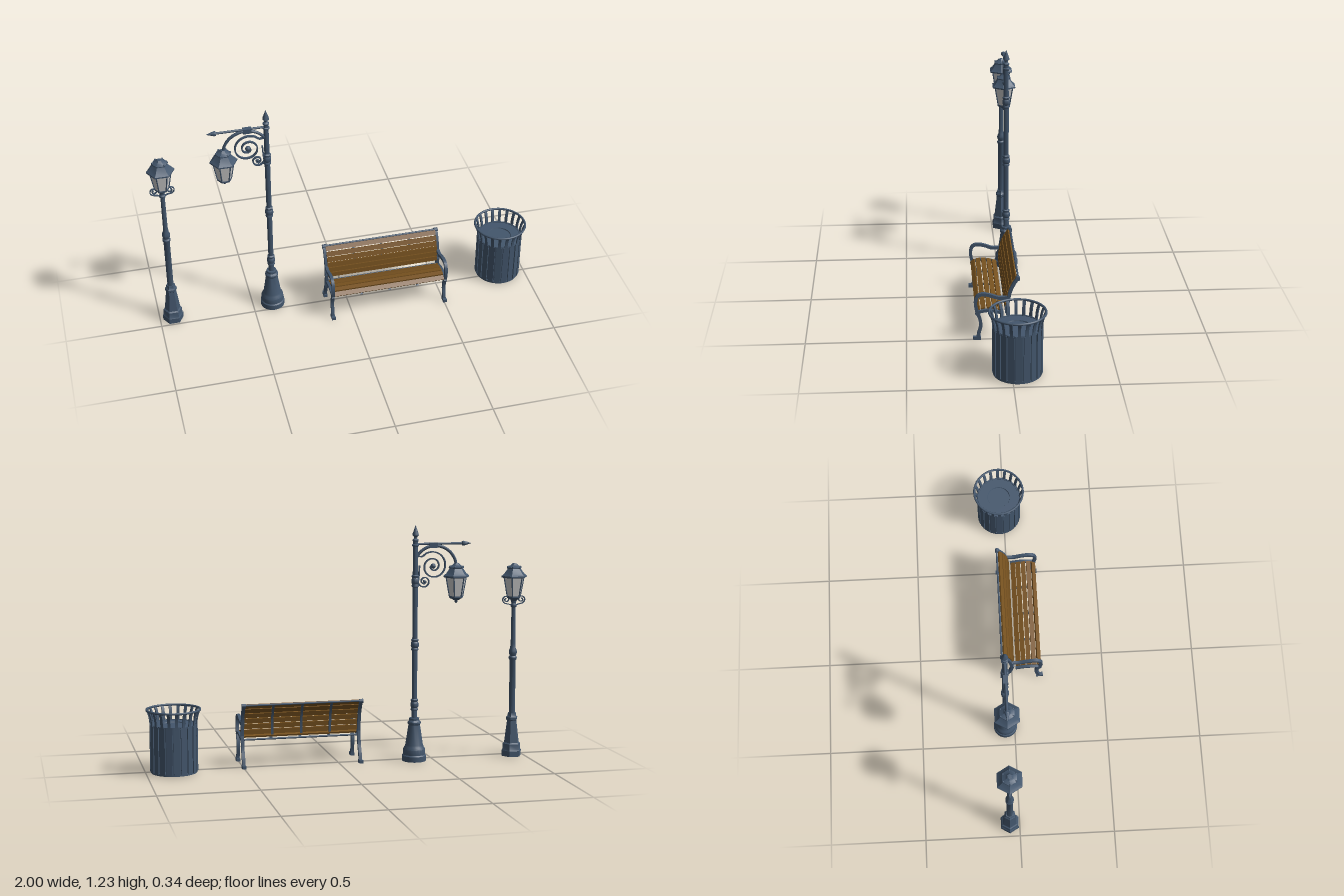
import * as THREE from 'three';
import { toCreasedNormals } from 'three/addons/utils/BufferGeometryUtils.js';

const METAL = new THREE.MeshStandardMaterial({ color: 0x43566c });
const METAL_TWO = new THREE.MeshStandardMaterial({ color: 0x43566c, side: THREE.DoubleSide });
const WOOD = new THREE.MeshStandardMaterial({ color: 0x76511f });
const GLASS = new THREE.MeshStandardMaterial({ color: 0xcccccc });
const v2 = ([x, y]) => new THREE.Vector2(x, y);

function add(parent, name, geometry, material = METAL, x = 0, y = 0, z = 0) {
  const mesh = new THREE.Mesh(geometry, material);
  mesh.name = name;
  mesh.position.set(x, y, z);
  parent.add(mesh);
  return mesh;
}

function group(parent, name, x = 0, y = 0, z = 0) {
  const g = new THREE.Group();
  g.name = name;
  g.position.set(x, y, z);
  parent.add(g);
  return g;
}

// Turned solid from [radius, height] pairs; six sides have corners on the x axis
function turned(profile, sides = 24) {
  const g = new THREE.LatheGeometry(profile.map(v2), sides, sides === 6 ? Math.PI / 6 : 0);
  return toCreasedNormals(g, 0.6);
}

// Flat bar of constant thickness following a curve in the xy plane
function bar(points, thick, depth, steps = 32) {
  const curve = new THREE.SplineCurve(points.map(v2));
  const left = [], right = [];
  for (let i = 0; i <= steps; i++) {
    const p = curve.getPoint(i / steps), t = curve.getTangent(i / steps);
    const n = new THREE.Vector2(-t.y, t.x).multiplyScalar(thick / 2);
    left.push(p.clone().add(n));
    right.unshift(p.clone().sub(n));
  }
  const g = new THREE.ExtrudeGeometry(new THREE.Shape([...left, ...right]), { depth, bevelEnabled: false });
  g.translate(0, 0, -depth / 2);
  return toCreasedNormals(g, 0.6);
}

// Points of a spiral winding inward from angle a0
function spiral(cx, cy, r0, r1, a0, turns, n = 24) {
  return Array.from({ length: n + 1 }, (_, i) => {
    const t = i / n, r = r0 + (r1 - r0) * t, a = a0 + turns * Math.PI * 2 * t;
    return [cx + r * Math.cos(a), cy + r * Math.sin(a)];
  });
}

function rod(parent, name, a, b, radius, sides = 8) {
  const p = new THREE.Vector3(...a), q = new THREE.Vector3(...b);
  const m = add(parent, name, new THREE.CylinderGeometry(radius, radius, p.distanceTo(q), sides));
  m.position.copy(p).add(q).multiplyScalar(0.5);
  m.quaternion.setFromUnitVectors(new THREE.Vector3(0, 1, 0), q.sub(p).normalize());
}

// Six-sided lantern; y = 0 is the bottom of the glass
function lantern(parent, x, y, hanging) {
  const g = group(parent, 'lantern', x, y, 0);
  add(g, 'lanternGlass', turned([[0, 0], [0.034, 0], [0.054, 0.108], [0, 0.108]], 6), GLASS);
  for (let i = 0; i < 6; i++) {
    const a = i * Math.PI / 3, c = Math.cos(a), s = Math.sin(a);
    rod(g, 'lanternFrameBar', [0.035 * c, 0, 0.035 * s], [0.055 * c, 0.108, 0.055 * s], 0.0035, 6);
  }
  add(g, 'lanternBottomRim', turned([[0, -0.008], [0.03, -0.008], [0.038, -0.003], [0.038, 0.005], [0, 0.005]], 6));
  add(g, 'lanternRoof', turned([[0, 0.1], [0.056, 0.1], [0.07, 0.104], [0.07, 0.111], [0.055, 0.122],
    [0.036, 0.148], [0.041, 0.15], [0.041, 0.155], [0.022, 0.165], [0.012, 0.175], [0, 0.176]], 6));
  for (let i = 0; i < 6; i++) {
    const a = i * Math.PI / 3;
    add(g, 'roofBead', new THREE.SphereGeometry(0.005, 8, 6), METAL, 0.036 * Math.cos(a), 0.157, 0.036 * Math.sin(a));
  }
  if (hanging) add(g, 'lanternPendant', turned([[0, -0.034], [0.007, -0.026], [0.009, -0.018], [0.018, -0.014], [0.028, -0.006], [0, -0.006]], 12));
}

// Short lamp post on a six-sided base
function shortLamp(root) {
  const g = group(root, 'shortLamp', -0.93, 0, -0.053);
  add(g, 'lampBase', turned([[0, 0], [0.054, 0], [0.054, 0.03], [0.05, 0.035], [0.048, 0.066], [0.041, 0.072],
    [0.026, 0.19], [0.031, 0.195], [0.031, 0.208], [0.024, 0.215], [0.022, 0.23], [0, 0.23]], 6));
  add(g, 'lampPost', turned([[0.016, 0.22], [0.016, 0.51], [0.021, 0.52], [0.021, 0.528], [0.016, 0.535],
    [0.021, 0.55], [0.021, 0.56], [0.015, 0.575], [0.012, 0.6], [0.011, 0.79], [0.016, 0.795], [0.016, 0.805],
    [0.012, 0.81], [0.014, 0.825], [0.03, 0.842], [0, 0.842]], 16));
  for (const s of [1, -1]) {
    const pts = [[0.01, 0.8], [0.024, 0.806], ...spiral(0.041, 0.832, 0.022, 0.005, -Math.PI / 2, 1.5)];
    const geo = bar(pts.map(([x, y]) => [x * s, y]), 0.005, 0.008, 60);
    add(g, 'postScroll', geo, METAL_TWO);
  }
  lantern(g, 0, 0.845, false);
}

// Tall post with a scrolled arm and a hanging lantern
function tallLamp(root) {
  const g = group(root, 'tallLamp', -0.395, 0, -0.05);
  add(g, 'lampBase', turned([[0, 0], [0.063, 0], [0.063, 0.028], [0.058, 0.034], [0.058, 0.062], [0.05, 0.075],
    [0.046, 0.085], [0.03, 0.19], [0.034, 0.195], [0.034, 0.205], [0.026, 0.214], [0.026, 0.226], [0, 0.23]]));
  const post = [[0.016, 0.22]];
  for (const [y, r] of [[0.295, 0.021], [0.61, 0.021], [0.94, 0.02]])
    post.push([0.014, y - 0.032], [0.019, y - 0.028], [0.019, y - 0.022], [0.016, y - 0.016], [r, y - 0.008],
      [r, y + 0.008], [0.016, y + 0.016], [0.019, y + 0.022], [0.019, y + 0.027], [0.0135, y + 0.032]);
  post.push([0.0125, 1.115], [0.017, 1.12], [0.017, 1.127], [0.013, 1.13], [0.013, 1.143], [0.016, 1.147],
    [0.016, 1.153], [0.008, 1.16], [0.009, 1.168], [0.017, 1.175], [0.015, 1.185], [0, 1.228]);
  add(g, 'lampPost', turned(post, 16));

  // Arrow rail
  rod(g, 'arrowRail', [0, 1.13, 0], [-0.265, 1.13, 0], 0.006);
  const tip = add(g, 'arrowTip', turned([[0, -0.012], [0.011, -0.008], [0.013, 0], [0, 0.042]], 12), METAL, -0.258, 1.13, 0);
  tip.rotation.z = Math.PI / 2;

  // Arch, its collar, and the scrolls beneath
  const arch = Array.from({ length: 9 }, (_, i) => {
    const a = Math.PI * (1 - i / 8 * 0.84);
    return new THREE.Vector3(-0.105 + 0.115 * Math.cos(a), 1.005 + 0.115 * Math.sin(a), 0);
  });
  add(g, 'lampArch', new THREE.TubeGeometry(new THREE.CatmullRomCurve3(arch), 32, 0.008, 8));
  add(g, 'archCollar', new THREE.BoxGeometry(0.042, 0.026, 0.024), METAL, -0.095, 1.123, 0);
  add(g, 'largeScroll', bar([[-0.012, 1.07], ...spiral(-0.095, 1.015, 0.078, 0.012, 0.7, 1.9, 32)], 0.007, 0.012, 110), METAL_TWO);
  add(g, 'smallScroll', bar([[-0.022, 1.02], ...spiral(-0.048, 0.937, 0.034, 0.007, 0.5, -1.6)], 0.006, 0.012, 70), METAL_TWO);
  add(g, 'scrollBead', new THREE.SphereGeometry(0.014, 12, 8), METAL, -0.095, 1.015, 0);
  add(g, 'scrollBead', new THREE.SphereGeometry(0.008, 10, 8), METAL, -0.048, 0.937, 0);
  lantern(g, -0.22, 0.853, true);
}

// Slatted bench; profiles are [z, y] pairs extruded along x
function bench(root) {
  const g = group(root, 'bench', 0.197, 0, 0);
  const back = [[0.008, 0.165], [0.004, 0.21], [-0.006, 0.26], [-0.026, 0.305], [-0.046, 0.332]];
  const seat = [[0.155, 0.145], [0.14, 0.159], [0.1, 0.167], [0.06, 0.162], [0.02, 0.15]];
  const behind = back.map(([z, y]) => [z - 0.009, y - 0.002]);
  const under = seat.map(([z, y]) => [z, y - 0.009]);
  const side = (name, pts, thick, depth, x) =>
    add(g, name, bar(pts, thick, depth).rotateY(-Math.PI / 2), METAL, x, 0, 0);

  for (const s of [1, -1]) {
    const x = s * 0.306;
    side('frontLegAndArm', [[0.144, 0], [0.142, 0.03], [0.131, 0.075], [0.136, 0.115], [0.15, 0.155], [0.157, 0.2],
      [0.147, 0.235], [0.12, 0.246], [0.08, 0.238], [0.04, 0.224], [0, 0.226]], 0.016, 0.016, x);
    side('backLeg', [[0.004, 0.18], [-0.002, 0.14], [-0.012, 0.09], [-0.03, 0.045], [-0.042, 0]], 0.016, 0.016, x);
    side('backPost', behind, 0.016, 0.016, x);
    side('seatRail', under, 0.014, 0.016, x);
    for (const z of [0.15, -0.044]) add(g, 'foot', new THREE.BoxGeometry(0.02, 0.016, 0.038), METAL, x, 0.008, z);
    const knob = add(g, 'postKnob', new THREE.CylinderGeometry(0.011, 0.011, 0.02, 16), METAL, x, 0.327, -0.052);
    knob.rotation.z = Math.PI / 2;
  }
  for (const x of [-0.152, 0, 0.152]) {
    side('backStrap', behind, 0.006, 0.012, x);
    side('seatStrap', under, 0.006, 0.012, x);
  }
  rod(g, 'topRail', [-0.3, 0.328, -0.054], [0.3, 0.328, -0.054], 0.005);
  rod(g, 'seatBrace', [-0.3, 0.14, 0.005], [0.3, 0.14, 0.005], 0.005);

  const slats = (name, pts, count, width) => {
    const curve = new THREE.SplineCurve(pts.map(v2));
    for (let i = 0; i < count; i++) {
      const u = (i + 0.5) / count, p = curve.getPointAt(u), t = curve.getTangentAt(u);
      const m = add(g, name, new THREE.BoxGeometry(0.6, 0.009, width), WOOD, 0, p.y, p.x);
      m.rotation.x = -Math.atan2(t.y, t.x);
    }
  };
  slats('backSlat', back, 6, 0.025);
  slats('seatSlat', seat, 5, 0.024);
}

// Round litter bin with flared bars above a closed drum
function litterBin(root) {
  const g = group(root, 'litterBin', 0.857, 0, -0.027);
  add(g, 'drum', turned([[0, 0.006], [0.111, 0.006], [0.111, 0.246], [0.062, 0.246], [0.06, 0.241], [0, 0.241]], 40));
  for (const y of [0.006, 0.243])
    add(g, 'drumRing', turned([[0.11, y - 0.006], [0.117, y - 0.006], [0.117, y + 0.006], [0.11, y + 0.006], [0.11, y - 0.006]], 40));
  const rim = add(g, 'topRim', new THREE.TorusGeometry(0.134, 0.006, 8, 48), METAL, 0, 0.32, 0);
  rim.rotation.x = Math.PI / 2;
  const count = 20;
  for (let i = 0; i < count; i++) {
    const stave = group(g, 'stave');
    stave.rotation.y = i / count * Math.PI * 2;
    add(stave, 'stavePanel', new THREE.BoxGeometry(0.03, 0.238, 0.006), METAL, 0, 0.127, 0.117);
    const flare = bar([[0.117, 0.235], [0.118, 0.262], [0.124, 0.295], [0.134, 0.32]], 0.006, 0.015, 8);
    add(stave, 'flaredBar', flare.rotateY(-Math.PI / 2));
  }
}

export function createModel() {
  const root = new THREE.Group();
  root.name = 'streetFurniture';
  shortLamp(root);
  tallLamp(root);
  bench(root);
  litterBin(root);
  return root;
}
